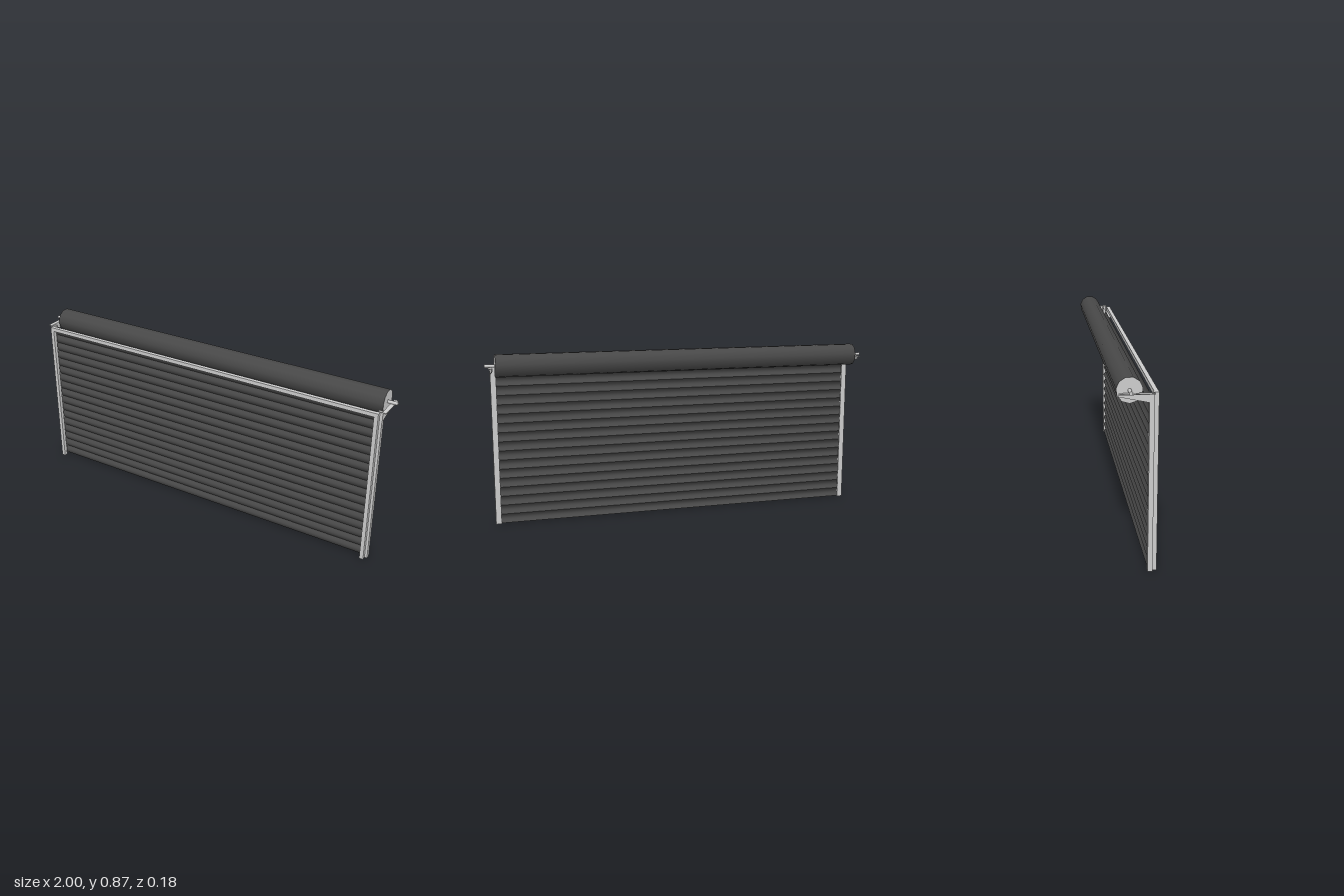
import * as THREE from 'three';
import { mergeGeometries } from 'three/addons/utils/BufferGeometryUtils.js';

const steel = new THREE.MeshStandardMaterial({ color: 0xcccccc, side: THREE.DoubleSide });
const dark = new THREE.MeshStandardMaterial({ color: 0x484848, side: THREE.DoubleSide });

function add(parent, name, geometry, material, x = 0, y = 0, z = 0) {
  const mesh = new THREE.Mesh(geometry, material);
  mesh.name = name;
  mesh.position.set(x, y, z);
  parent.add(mesh);
  return mesh;
}

function polygon(points) {
  return new THREE.Shape(points.map(([x, y]) => new THREE.Vector2(x, y)));
}

// Curtain of curved slats, each with its own smooth normals so the joints stay sharp
function curtainGeometry(width, height, count) {
  const pitch = height / count;
  const slats = [];
  for (let i = 0; i < count; i++) {
    const slat = new THREE.PlaneGeometry(width, pitch, 1, 8);
    const p = slat.attributes.position;
    for (let v = 0; v < p.count; v++) {
      const t = p.getY(v) / pitch + 0.5;
      p.setZ(v, 0.012 * Math.sin(Math.PI * t));
    }
    slat.computeVertexNormals();
    slat.translate(0, (i + 0.5) * pitch, 0);
    slats.push(slat);
  }
  return mergeGeometries(slats);
}

// Guide, frame post and drum bracket for one side (s = 1 is the left)
function sideAssembly(s) {
  const side = new THREE.Group();
  side.name = s > 0 ? 'leftSide' : 'rightSide';
  const height = 0.81;

  // U-shaped channel, open towards the curtain
  const a = 0.94, b = 0.968, t = 0.003;
  const outline = [[a, 0.048], [b, 0.048], [b, 0.07], [a, 0.07], [a, 0.07 - t],
    [b - t, 0.07 - t], [b - t, 0.048 + t], [a, 0.048 + t]];
  const channel = new THREE.ExtrudeGeometry(polygon(outline.map(([x, z]) => [s * x, -z])),
    { depth: height, bevelEnabled: false });
  channel.rotateX(-Math.PI / 2);
  add(side, 'guideChannel', channel, steel);

  add(side, 'framePost', new THREE.BoxGeometry(0.02, height, 0.02), steel, s * 0.945, height / 2, 0.08);

  // Tapered bracket web with a flange along its top
  const web = new THREE.ExtrudeGeometry(
    polygon([[-0.07, 0.765], [0.08, 0.797], [0.08, 0.812], [-0.07, 0.812]]),
    { depth: 0.004, bevelEnabled: false });
  web.rotateY(Math.PI / 2);
  add(side, 'bracketWeb', web, steel, s * 0.967 - 0.002);
  add(side, 'bracketFlange', new THREE.BoxGeometry(0.02, 0.004, 0.15), steel, s * 0.974, 0.81, -0.005);
  return side;
}

export function createModel() {
  const model = new THREE.Group();
  model.name = 'rollerShutter';

  add(model, 'curtain', curtainGeometry(1.89, 0.8, 17), dark, 0, 0.003, 0.052);
  add(model, 'header', new THREE.BoxGeometry(1.87, 0.02, 0.02), steel, 0, 0.8, 0.08);
  for (const s of [1, -1]) model.add(sideAssembly(s));

  // Rolled-up curtain with end discs and shaft
  const drum = new THREE.Group();
  drum.name = 'drum';
  drum.position.set(0, 0.82, -0.033);
  model.add(drum);
  const roll = new THREE.CylinderGeometry(0.057, 0.057, 1.9, 11, 1, true);
  roll.rotateY(Math.PI / 2).rotateZ(Math.PI / 2);
  // turn so that one corner points straight down
  roll.rotateX(Math.PI / 2 - Math.atan2(-roll.attributes.position.getZ(0), -roll.attributes.position.getY(0)) + Math.PI / 2 - Math.PI);
  add(drum, 'roll', roll, dark);
  const p = roll.attributes.position;
  const start = Math.atan2(p.getY(0), p.getZ(0));
  for (const s of [1, -1]) {
    const disc = new THREE.CircleGeometry(0.057, 11, s > 0 ? Math.PI - start : start);
    disc.rotateY(s * Math.PI / 2);
    add(drum, 'endDisc', disc, steel, s * 0.95);
  }
  const shaft = new THREE.CylinderGeometry(0.008, 0.008, 2, 12);
  shaft.rotateZ(Math.PI / 2);
  add(drum, 'shaft', shaft, steel);
  return model;
}
